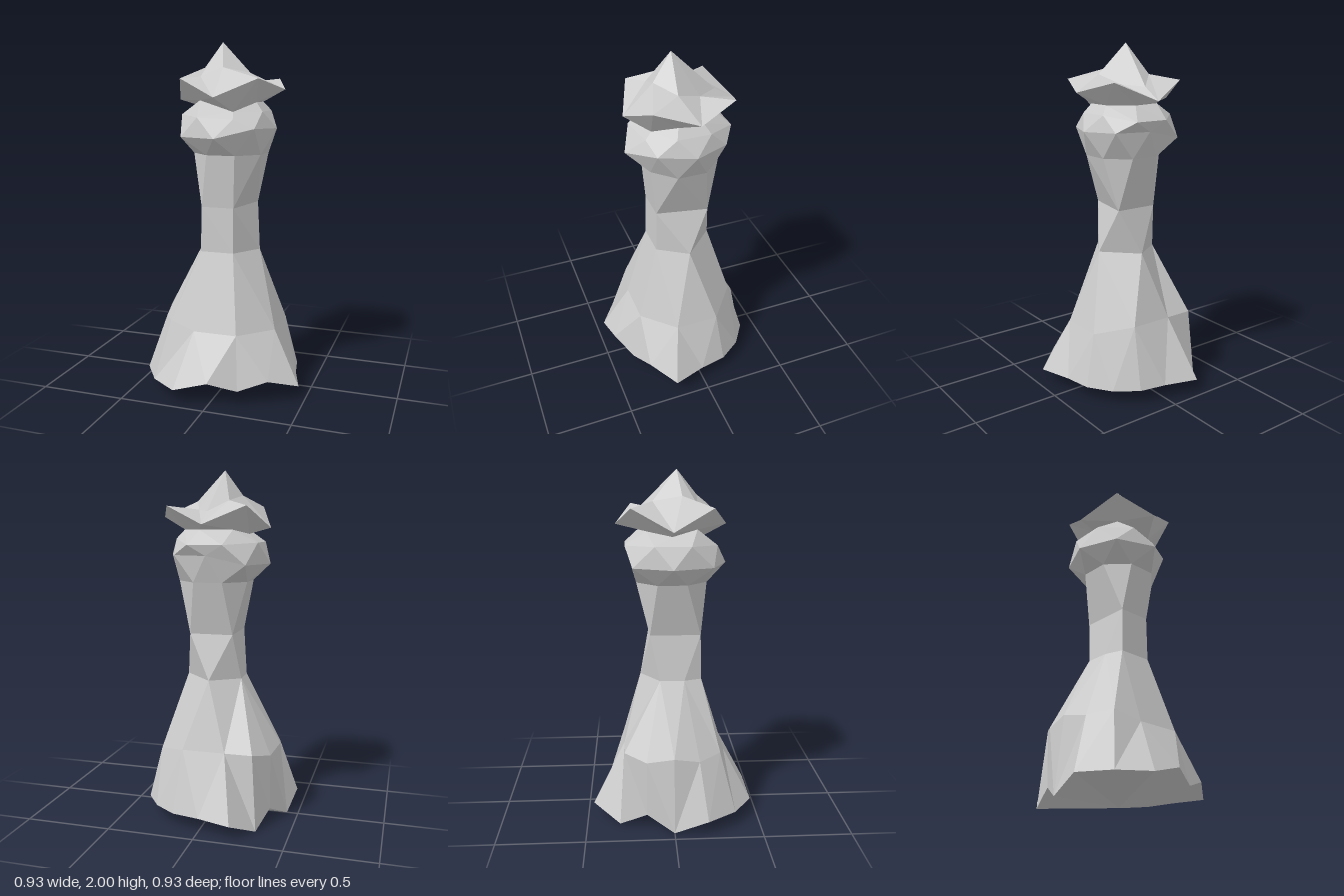
import * as THREE from 'three';

const TAU = Math.PI * 2;
const material = new THREE.MeshStandardMaterial({ color: 0xcccccc, flatShading: true });

// A ring is a list of [x, y, z] corners, sorted by angle around the y axis
const angle = ([x, , z]) => (Math.atan2(x, z) + TAU) % TAU;
const ring = (...pts) => pts.sort((a, b) => angle(a) - angle(b));

// Joins a lower and an upper ring of any corner counts with triangles
function stitch(lo, up, out) {
  const at = (r, i) => (r.length === 1 ? 0 : angle(r[i % r.length]) + TAU * Math.floor(i / r.length));
  const p = (r, i) => r[i % r.length];
  const nLo = lo.length > 1 ? lo.length : 0;
  const nUp = up.length > 1 ? up.length : 0;
  let i = 0, j = 0;
  while (i < nLo || j < nUp) {
    const midLo = i < nLo ? at(lo, i) + at(lo, i + 1) : Infinity;
    const midUp = j < nUp ? at(up, j) + at(up, j + 1) : Infinity;
    if (midLo <= midUp) {
      out.push(...p(lo, i), ...p(lo, i + 1), ...p(up, j));
      i++;
    } else {
      out.push(...p(lo, i), ...p(up, j + 1), ...p(up, j));
      j++;
    }
  }
}

// Faceted skin through a stack of rings, from bottom to top
function skin(name, ...rings) {
  const out = [];
  for (let k = 0; k + 1 < rings.length; k++) stitch(rings[k], rings[k + 1], out);
  const geometry = new THREE.BufferGeometry();
  geometry.setAttribute('position', new THREE.Float32BufferAttribute(out, 3));
  geometry.computeVertexNormals();
  const mesh = new THREE.Mesh(geometry, material);
  mesh.name = name;
  return mesh;
}

export function createModel() {
  // Uneven hem of the base
  const hem = ring(
    [0, 0.135, 0.445], [0.155, 0.08, 0.37], [0.315, 0.135, 0.31], [0.465, 0.08, 0.19],
    [0.405, 0.08, 0], [0.375, 0.08, -0.155], [0.285, 0.08, -0.285], [0.155, 0.08, -0.375],
    [0, 0.08, -0.405], [-0.195, 0.08, -0.465], [-0.31, 0, -0.31], [-0.36, 0.08, -0.155],
    [-0.435, 0, 0], [-0.465, 0.08, 0.19], [-0.355, 0.08, 0.355], [-0.195, 0.08, 0.465]);

  // Middle of the skirt, bulging on one side
  const skirtMid = ring(
    [0.127, 0.38, 0.305], [0.305, 0.38, 0.127], [0.305, 0.38, -0.127], [0.127, 0.43, -0.28],
    [-0.12, 0.43, -0.28], [-0.28, 0.43, -0.28], [-0.36, 0.4, -0.155], [-0.388, 0.43, 0],
    [-0.36, 0.4, 0.145], [-0.28, 0.42, 0.27], [-0.127, 0.38, 0.305]);

  const waistLow = ring(
    [-0.13, 0.82, 0.17], [0.065, 0.82, 0.17], [0.175, 0.82, 0],
    [0, 0.82, -0.18], [-0.165, 0.82, -0.07], [-0.165, 0.82, 0.07]);

  const waistHigh = ring(
    [-0.125, 1.08, 0.165], [0.065, 1.08, 0.165], [0.125, 1.08, -0.125], [-0.125, 1.08, -0.125]);

  // Regular octagon below the collar
  const neck = ring(...Array.from({ length: 8 }, (_, k) => {
    const a = (k + 0.5) * TAU / 8;
    return [0.216 * Math.sin(a), 1.38, 0.216 * Math.cos(a)];
  }));

  const collarRim = ring(
    [0, 1.48, 0.315], [0.195, 1.53, 0.195], [0.27, 1.525, 0], [0.195, 1.53, -0.195],
    [0, 1.53, -0.245], [-0.22, 1.48, -0.22], [-0.315, 1.48, 0], [-0.225, 1.48, 0.225]);

  const collarTop = ring(
    [-0.115, 1.59, 0.255], [0.08, 1.58, 0.22], [0.21, 1.62, 0.09], [0.21, 1.62, -0.1],
    [0.1, 1.59, -0.262], [-0.1, 1.59, -0.262], [-0.262, 1.6, -0.1], [-0.265, 1.6, 0.1]);

  const crownFoot = ring(
    [0.07, 1.62, 0.185], [0.17, 1.67, 0.07], [0.17, 1.67, -0.07], [0.05, 1.67, -0.18],
    [-0.13, 1.67, -0.14], [-0.19, 1.645, 0], [-0.14, 1.68, 0.14]);

  // Eight crown points at alternating heights
  const crownRim = ring(
    [0, 1.7, 0.315], [0.225, 1.8, 0.225], [0.315, 1.74, 0], [0.225, 1.8, -0.225],
    [0, 1.7, -0.315], [-0.225, 1.8, -0.225], [-0.315, 1.68, 0], [-0.225, 1.8, 0.225]);

  const peakFoot = ring(
    [0, 1.86, 0.145], [0.13, 1.83, 0.055], [0.08, 1.78, -0.085], [0, 1.77, -0.2],
    [-0.1, 1.83, -0.105], [-0.14, 1.86, 0.055], [-0.135, 1.81, 0.14]);

  const group = new THREE.Group();
  group.name = 'chessPiece';
  group.add(
    skin('underside', [[0, 0, 0]], hem),
    skin('skirt', hem, skirtMid, waistLow),
    skin('waist', waistLow, waistHigh, neck),
    skin('collar', neck, collarRim, collarTop, crownFoot),
    skin('crown', crownFoot, crownRim, peakFoot),
    skin('peak', peakFoot, [[-0.04, 2, 0.03]]));
  return group;
}
